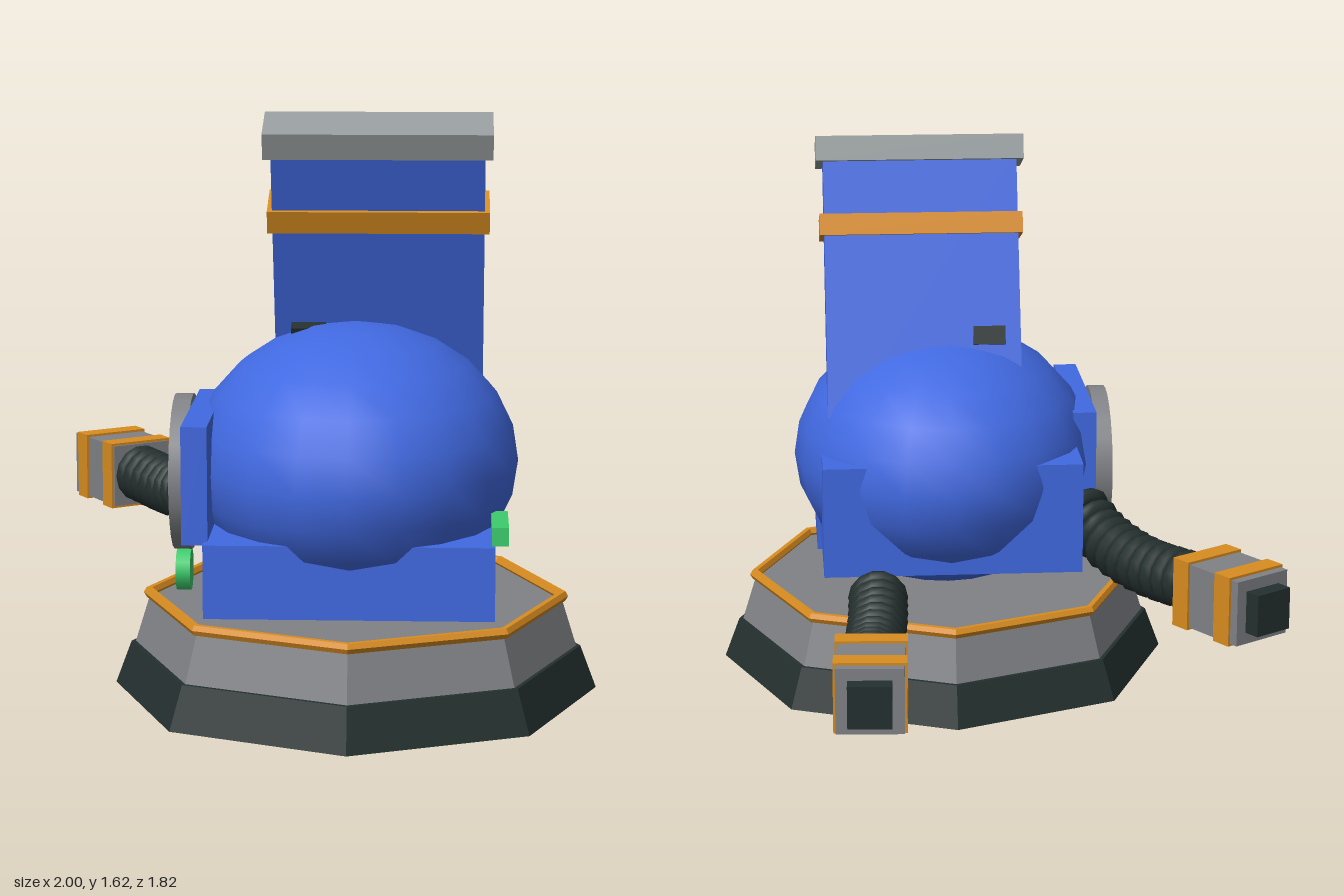
import * as THREE from 'three';

const material = (name, color, flatShading = false) => {
  const m = new THREE.MeshStandardMaterial({ color, flatShading });
  m.name = name;
  return m;
};

export function createModel() {
  const blue = material('blue', 0x4169e1);
  const grey = material('grey', 0x808286);
  const paleGrey = material('paleGrey', 0x969c9e);
  const dark = material('dark', 0x24302f);
  const orange = material('orange', 0xd88c20);
  const green = material('green', 0x3ccb6c);

  const model = new THREE.Group();
  model.name = 'model';

  const add = (parent, name, geometry, mat, x = 0, y = 0, z = 0) => {
    const mesh = new THREE.Mesh(geometry, mat);
    mesh.name = name;
    mesh.position.set(x, y, z);
    parent.add(mesh);
    return mesh;
  };
  // Box given by its lower and upper limits on each axis
  const block = (parent, name, mat, [x0, x1], [y0, y1], [z0, z1]) =>
    add(parent, name, new THREE.BoxGeometry(x1 - x0, y1 - y0, z1 - z0), mat,
      (x0 + x1) / 2, (y0 + y1) / 2, (z0 + z1) / 2);
  // Non-indexed copy so that every facet is flat
  const faceted = (geometry) => {
    const g = geometry.toNonIndexed();
    g.computeVertexNormals();
    return g;
  };

  // Octagonal base
  const base = new THREE.Group();
  base.name = 'base';
  base.position.set(0.32, 0, 0.23);
  model.add(base);
  add(base, 'foot', faceted(new THREE.CylinderGeometry(0.632, 0.677, 0.12, 8)), dark, 0, 0.06, 0);
  add(base, 'plinth', faceted(new THREE.CylinderGeometry(0.578, 0.62, 0.135, 8)), grey, 0, 0.1875, 0);
  const rim = add(base, 'rimRing', faceted(new THREE.TorusGeometry(0.58, 0.016, 6, 8)), orange, 0, 0.262, 0);
  rim.rotation.x = Math.PI / 2;

  // Turned body: local +z is its own front
  const body = new THREE.Group();
  body.name = 'body';
  body.position.set(0.32, 0, 0.23);
  body.rotation.y = Math.PI / 4;
  model.add(body);
  const dome = add(body, 'dome', new THREE.SphereGeometry(1, 20, 12), blue, 0, 0.65, 0);
  dome.scale.set(0.452, 0.385, 0.535);
  block(body, 'frontBlock', blue, [-0.39, 0.385], [0.3, 0.5], [0.12, 0.44]);
  block(body, 'backBlock', blue, [-0.385, 0.375], [0.39, 0.72], [-0.43, 0.13]);
  block(body, 'sidePlate', blue, [-0.45, -0.38], [0.49, 0.81], [-0.19, 0.396]);
  block(body, 'sideLamp', green, [0.375, 0.42], [0.503, 0.553], [0.225, 0.43]);

  // Round side shield with a raised star
  const shield = new THREE.Group();
  shield.name = 'sideShield';
  shield.position.set(-0.475, 0.615, 0.02);
  shield.rotation.y = -Math.PI / 2;
  body.add(shield);
  const disc = add(shield, 'shieldDisc', new THREE.CylinderGeometry(0.217, 0.217, 0.05, 24), grey);
  disc.rotation.x = Math.PI / 2;
  const star = new THREE.Shape();
  for (let i = 0; i < 16; i++) {
    const a = (i * Math.PI) / 8;
    const r = i % 2 ? 0.06 : 0.145;
    star[i ? 'lineTo' : 'moveTo'](r * Math.sin(a), r * Math.cos(a));
  }
  add(shield, 'star', new THREE.ExtrudeGeometry(star, { depth: 0.008, bevelEnabled: false }), paleGrey, 0, 0, 0.025);
  const lamp = add(body, 'roundLamp', new THREE.CylinderGeometry(0.06, 0.06, 0.04, 12), green, -0.48, 0.33, 0);
  lamp.rotation.z = Math.PI / 2;

  // Leaning panel on top
  const panel = new THREE.Group();
  panel.name = 'panel';
  panel.position.set(0.064, 1.556, 0.095);
  panel.rotation.x = 0.34;
  body.add(panel);
  add(panel, 'panelCap', new THREE.BoxGeometry(0.62, 0.074, 0.152), paleGrey);
  add(panel, 'panelSlab', new THREE.BoxGeometry(0.578, 0.88, 0.12), blue, 0, -0.45, 0);
  add(panel, 'panelBand', new THREE.BoxGeometry(0.605, 0.064, 0.142), orange, 0, -0.227, 0);
  add(panel, 'panelClip', new THREE.BoxGeometry(0.095, 0.055, 0.17), dark, -0.195, -0.565, 0.015);

  // Ribbed hose ending in a banded square head
  const arm = (name, path, head, dirX, dirZ) => {
    const group = new THREE.Group();
    group.name = name;
    model.add(group);
    const curve = new THREE.CatmullRomCurve3(path.map((p) => new THREE.Vector3(...p)));
    add(group, 'hoseCore', new THREE.TubeGeometry(curve, 24, 0.066, 10, false), dark);
    const rings = 12;
    const ring = new THREE.TorusGeometry(0.062, 0.026, 8, 14);
    for (let i = 0; i < rings; i++) {
      const t = i / (rings - 1);
      const p = curve.getPointAt(t);
      const rib = add(group, 'hoseRib', ring, dark, p.x, p.y, p.z);
      rib.lookAt(p.clone().add(curve.getTangentAt(t)));
    }
    const tip = new THREE.Group();
    tip.name = 'armHead';
    tip.position.set(...head);
    tip.rotation.y = Math.atan2(dirX, dirZ);
    group.add(tip);
    add(tip, 'headBlock', new THREE.BoxGeometry(0.186, 0.186, 0.265), grey);
    for (const z of [-0.095, 0.075]) {
      add(tip, 'headBand', new THREE.BoxGeometry(0.2, 0.2, 0.062), orange, 0, 0, z);
    }
    add(tip, 'headPlug', new THREE.BoxGeometry(0.12, 0.12, 0.06), dark, 0, 0, 0.15);
  };
  arm('sideArm',
    [[-0.17, 0.53, 0.305], [-0.28, 0.475, 0.28], [-0.45, 0.445, 0.238], [-0.68, 0.45, 0.192]],
    [-0.81, 0.45, 0.165], -0.98, -0.2);
  arm('backArm',
    [[0.15, 0.335, -0.25], [0.06, 0.31, -0.35], [-0.06, 0.29, -0.5], [-0.18, 0.305, -0.64]],
    [-0.27, 0.31, -0.735], -0.665, -0.746);

  return model;
}
